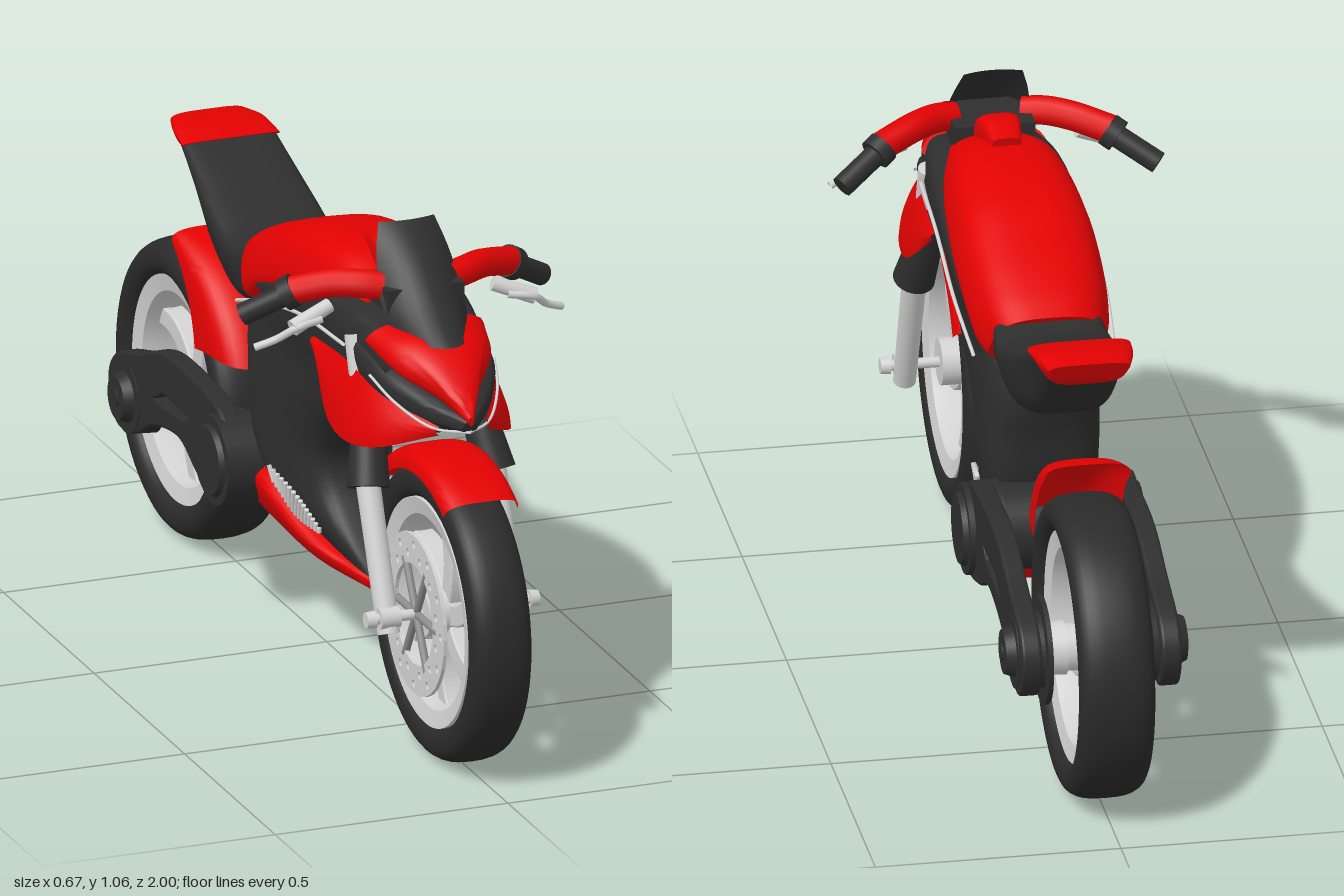
import * as THREE from 'three';
import { toCreasedNormals } from 'three/addons/utils/BufferGeometryUtils.js';

const V = (x, y, z) => new THREE.Vector3(x, y, z);

export function createModel() {
  const root = new THREE.Group();
  root.name = 'motorcycle';
  const paint = (name, color) => {
    const m = new THREE.MeshStandardMaterial({ color, side: THREE.DoubleSide });
    m.name = name;
    return m;
  };
  const red = paint('red paint', 0xe20202);
  const dark = paint('dark plastic', 0x2e2e2e);
  const rubber = paint('tyre rubber', 0x2a2a2a);
  const silver = paint('silver metal', 0xd2d2d2);
  const steel = paint('grey steel', 0x8c8c8c);

  const add = (name, geo, mat, parent = root) => {
    const mesh = new THREE.Mesh(geo, mat);
    mesh.name = name;
    parent.add(mesh);
    return mesh;
  };
  const both = (fn) => [-1, 1].forEach(fn);

  // Indexed grid from a point function, optionally with closed end caps
  function grid(rows, cols, point, caps) {
    const pos = [], idx = [];
    for (let i = 0; i <= rows; i++)
      for (let j = 0; j <= cols; j++) pos.push(...point(i / rows, j / cols).toArray());
    const id = (i, j) => i * (cols + 1) + j;
    for (let i = 0; i < rows; i++)
      for (let j = 0; j < cols; j++)
        idx.push(id(i, j), id(i, j + 1), id(i + 1, j), id(i + 1, j), id(i, j + 1), id(i + 1, j + 1));
    if (caps) [0, rows].forEach((r) => {
      const c = pos.length / 3;
      const mid = point(r / rows, 0).add(point(r / rows, 0.5)).multiplyScalar(0.5);
      pos.push(...mid.toArray());
      for (let j = 0; j < cols; j++)
        idx.push(c, ...(r ? [id(r, j), id(r, j + 1)] : [id(r, j + 1), id(r, j)]));
    });
    const g = new THREE.BufferGeometry();
    g.setAttribute('position', new THREE.Float32BufferAttribute(pos, 3));
    g.setIndex(idx);
    return toCreasedNormals(g, 0.7);
  }

  // Rounded body through stations [z, y, halfWidth, z, y, halfWidth] (one edge, opposite edge)
  function loft(name, mat, stations, e = 0.55) {
    const a = new THREE.CatmullRomCurve3(stations.map((s) => V(s[2], s[1], s[0])), false, 'catmullrom');
    const b = new THREE.CatmullRomCurve3(stations.map((s) => V(s[5], s[4], s[3])), false, 'catmullrom');
    const pow = (k) => Math.sign(k) * Math.abs(k) ** e;
    return add(name, grid((stations.length - 1) * 5, 32, (u, v) => {
      const p = a.getPoint(u).lerp(b.getPoint(u), (1 - pow(Math.cos(v * 2 * Math.PI))) / 2);
      p.x *= pow(Math.sin(v * 2 * Math.PI));
      return p;
    }, true), mat);
  }

  // Thin curved sheet between two edges; the bulge fades along the edges
  function sheet(name, mat, edgeA, edgeB, bulge, fade) {
    const a = new THREE.CatmullRomCurve3(edgeA), b = new THREE.CatmullRomCurve3(edgeB);
    return add(name, grid(16, 10, (u, v) =>
      a.getPoint(u).lerp(b.getPoint(u), v).addScaledVector(bulge, 4 * v * (1 - v) * (1 - fade * u))), mat);
  }

  const tube = (name, mat, pts, r) =>
    add(name, new THREE.TubeGeometry(new THREE.CatmullRomCurve3(pts), 20, r, 10), mat);

  function rod(name, mat, p, q, r0, r1 = r0, parent = root) {
    const d = q.clone().sub(p);
    const m = add(name, new THREE.CylinderGeometry(r1, r0, d.length(), 28), mat, parent);
    m.position.copy(p).addScaledVector(d, 0.5);
    m.quaternion.setFromUnitVectors(V(0, 1, 0), d.normalize());
    return m;
  }

  // Side plate from a (z, y) shape, centred on x
  function plate(name, mat, shape, x, t, bevel = 0, parent = root) {
    const g = new THREE.ExtrudeGeometry(shape, { depth: t, curveSegments: 16,
      bevelEnabled: bevel > 0, bevelSize: bevel, bevelThickness: bevel, bevelSegments: 3 });
    g.rotateY(-Math.PI / 2).translate(x + t / 2, 0, 0);
    return add(name, g, mat, parent);
  }
  const v2 = (pts) => pts.map((p) => new THREE.Vector2(...p));

  // Revolve a (radius, x) profile about the axle
  const spin = (pts) => new THREE.LatheGeometry(v2(pts), 64).rotateZ(Math.PI / 2);

  function wheel(name, z, w) {
    const g = new THREE.Group();
    g.name = name;
    g.position.set(0, 0.31, z);
    root.add(g);
    const tyre = [];
    for (let i = 0; i <= 28; i++) {
      const a = (i / 28) * 2 * Math.PI - Math.PI / 2, c = Math.cos(a), s = Math.sin(a);
      tyre.push([0.267 + 0.041 * Math.sign(c) * Math.abs(c) ** 0.8, w * Math.sign(s) * Math.abs(s) ** 0.75]);
    }
    add('tyre', spin(tyre), rubber, g);
    add('rim', toCreasedNormals(spin([[0.2, -0.05], [0.235, -0.058], [0.235, 0.058], [0.2, 0.05], [0.192, 0], [0.2, -0.05]]), 0.5), silver, g);
    // Curved blade spokes
    const spoke = new THREE.Shape();
    spoke.moveTo(0.03, -0.018);
    spoke.quadraticCurveTo(0.15, 0.0, 0.185, 0.105);
    spoke.lineTo(0.162, 0.13);
    spoke.quadraticCurveTo(0.13, 0.035, 0.03, 0.02);
    for (let i = 0; i < 6; i++)
      plate('spoke', silver, spoke, 0, 0.034, 0.004, g).rotation.x = i * Math.PI / 3;
    rod('hub', silver, V(-0.065, 0, 0), V(0.065, 0, 0), 0.048, 0.048, g);
    return g;
  }

  // Front wheel with drilled brake disc
  const front = wheel('frontWheel', 0.69, 0.064);
  const disc = new THREE.Shape().absarc(0, 0, 0.168, 0, 2 * Math.PI);
  disc.holes.push(new THREE.Path().absarc(0, 0, 0.105, 0, 2 * Math.PI, true));
  for (let i = 0; i < 24; i++) {
    const a = (i / 24) * 2 * Math.PI, r = i % 2 ? 0.125 : 0.148;
    disc.holes.push(new THREE.Path().absarc(r * Math.cos(a), r * Math.sin(a), 0.008, 0, 2 * Math.PI, true));
  }
  plate('brakeDisc', silver, disc, -0.078, 0.008, 0, front);
  for (let i = 0; i < 6; i++) {
    const a = i * Math.PI / 3;
    rod('discCarrier', steel, V(-0.076, 0, 0), V(-0.076, 0.12 * Math.sin(a), 0.12 * Math.cos(a)), 0.008, 0.008, front);
  }
  rod('axle', silver, V(-0.17, 0, 0), V(0.17, 0, 0), 0.011, 0.011, front);
  both((s) => rod('axleEnd', silver, V(s * 0.165, 0, 0), V(s * 0.185, 0, 0), 0.018, 0.016, front));

  // Rear wheel, sprocket and hub covers
  const rear = wheel('rearWheel', -0.69, 0.077);
  rod('sprocket', dark, V(0.1, 0, 0), V(0.11, 0, 0), 0.112, 0.112, rear);
  both((s) => {
    rod('innerHub', silver, V(s * 0.06, 0, 0), V(s * 0.125, 0, 0), 0.055, 0.05, rear);
    rod('hubCover', dark, V(s * 0.11, 0, 0), V(s * 0.165, 0, 0), 0.08, 0.076, rear);
    rod('axleCap', dark, V(s * 0.16, 0, 0), V(s * 0.185, 0, 0), 0.055, 0.045, rear);
    rod('axleNut', dark, V(s * 0.185, 0, 0), V(s * 0.19, 0, 0), 0.018, 0.018, rear);
  });

  // Mudguards: arc around the wheel, skirt depth running from s0 to s1, lower end cut level by lean
  const guard = (name, parent, a0, a1, r, w, s0, s1, lean) => add(name, grid(32, 20, (u, v) => {
    const t = v * 2 - 1, k = Math.abs(t) ** 3;
    const a = a0 + (a1 - a0) * u + lean * (1 - u) * k;
    const d = r - (s0 + (s1 - s0) * u) * k;
    return V(w * Math.sin(t * Math.PI / 2), d * Math.sin(a), d * Math.cos(a));
  }), red, parent);
  guard('frontMudguard', front, 1.02, 2.54, 0.34, 0.08, 0.035, 0.052, 0);
  guard('rearMudguard', rear, 0.43, 1.4, 0.374, 0.088, 0.13, 0.025, 0.27);

  // Swing arms and pivot
  const arm = new THREE.Shape();
  arm.moveTo(-0.11, 0.38);
  arm.splineThru(v2([[-0.19, 0.45], [-0.34, 0.468], [-0.49, 0.464], [-0.62, 0.42], [-0.75, 0.375], [-0.785, 0.31],
    [-0.74, 0.24], [-0.64, 0.255], [-0.54, 0.305], [-0.4, 0.325], [-0.29, 0.28], [-0.18, 0.26], [-0.11, 0.32]]));
  arm.holes.push(new THREE.Path(v2([[-0.34, 0.385], [-0.49, 0.39], [-0.55, 0.355], [-0.48, 0.352], [-0.37, 0.36]])));
  both((s) => {
    plate('swingArm', dark, arm, s * 0.142, 0.028, 0.007);
    rod('pivotCover', dark, V(s * 0.1, 0.35, -0.185), V(s * 0.175, 0.35, -0.185), 0.097, 0.093);
    rod('pivotCap', dark, V(s * 0.175, 0.35, -0.185), V(s * 0.186, 0.35, -0.185), 0.075, 0.07);
  });
  rod('pivotShaft', dark, V(-0.12, 0.35, -0.185), V(0.12, 0.35, -0.185), 0.09);

  // Main fairing, from the belly upwards (front edge, rear edge)
  loft('mainFairing', dark, [
    [0.3, 0.24, 0.03, -0.09, 0.34, 0.1], [0.24, 0.31, 0.07, -0.14, 0.38, 0.12],
    [0.175, 0.39, 0.09, -0.18, 0.44, 0.125], [0.17, 0.47, 0.1, -0.2, 0.54, 0.125],
    [0.27, 0.565, 0.11, -0.225, 0.63, 0.12], [0.44, 0.65, 0.11, -0.21, 0.68, 0.12],
    [0.56, 0.76, 0.12, -0.13, 0.71, 0.13], [0.55, 0.825, 0.12, -0.02, 0.76, 0.14]]);
  loft('bellyPan', red, [
    [0.318, 0.235, 0.012, 0.318, 0.212, 0.01], [0.12, 0.285, 0.1, 0.12, 0.216, 0.06],
    [-0.09, 0.365, 0.135, -0.06, 0.228, 0.08], [-0.25, 0.3, 0.11, -0.2, 0.237, 0.07]]);

  // Slatted vents and trim lines
  both((s) => {
    const top = new THREE.CatmullRomCurve3([V(s * 0.083, 0.315, 0.17), V(s * 0.102, 0.36, 0.1), V(s * 0.116, 0.388, -0.02)]);
    const low = new THREE.CatmullRomCurve3([V(s * 0.083, 0.305, 0.17), V(s * 0.097, 0.315, 0.08), V(s * 0.109, 0.355, -0.01)]);
    for (let i = 0; i < 15; i++)
      rod('ventSlat', silver, low.getPoint(i / 14), top.getPoint(i / 14), 0.005);
    tube('trimLine', silver, [V(s * 0.143, 0.815, 0.46), V(s * 0.15, 0.806, 0.25), V(s * 0.154, 0.76, 0.03), V(s * 0.143, 0.706, -0.13)], 0.004);
  });

  // Tank, dark side panel, seat and tail (top edge, bottom edge)
  loft('tank', red, [
    [0.44, 0.925, 0.08, 0.46, 0.84, 0.1], [0.3, 0.967, 0.1, 0.32, 0.82, 0.14],
    [0.12, 0.948, 0.115, 0.12, 0.79, 0.162], [-0.04, 0.895, 0.115, -0.02, 0.745, 0.162],
    [-0.15, 0.85, 0.11, -0.1, 0.7, 0.15], [-0.215, 0.815, 0.1, -0.14, 0.69, 0.13]], 0.65);
  loft('sidePanel', dark, [
    [0.6, 0.872, 0.1, 0.62, 0.79, 0.12], [0.42, 0.895, 0.13, 0.42, 0.795, 0.145],
    [0.22, 0.865, 0.145, 0.22, 0.78, 0.147], [0.06, 0.82, 0.147, 0.06, 0.762, 0.147],
    [-0.08, 0.78, 0.14, -0.08, 0.77, 0.14]], 0.4);
  loft('seat', dark, [
    [-0.16, 0.815, 0.11, -0.13, 0.7, 0.11], [-0.25, 0.8, 0.13, -0.27, 0.65, 0.09],
    [-0.34, 0.828, 0.13, -0.42, 0.7, 0.08], [-0.45, 0.872, 0.12, -0.53, 0.785, 0.07],
    [-0.535, 0.905, 0.112, -0.6, 0.85, 0.07]], 0.5);
  loft('tail', red, [
    [-0.515, 0.902, 0.116, -0.57, 0.868, 0.08], [-0.59, 0.918, 0.108, -0.615, 0.855, 0.074],
    [-0.657, 0.914, 0.09, -0.63, 0.86, 0.065]], 0.5);

  // Nose cowl, headlamps and windscreen
  loft('noseCowl', red, [
    [0.8, 0.757, 0.006, 0.8, 0.738, 0.004], [0.73, 0.824, 0.05, 0.72, 0.765, 0.045],
    [0.65, 0.875, 0.085, 0.64, 0.795, 0.115], [0.56, 0.89, 0.1, 0.53, 0.83, 0.145]], 0.72);
  loft('headlamps', dark, [
    [0.795, 0.747, 0.008, 0.785, 0.722, 0.02], [0.72, 0.775, 0.07, 0.71, 0.718, 0.07],
    [0.62, 0.815, 0.125, 0.62, 0.722, 0.115], [0.5, 0.85, 0.14, 0.5, 0.75, 0.135]]);
  both((s) => tube('lampTrim', silver, [V(0, 0.72, 0.788), V(s * 0.06, 0.722, 0.742), V(s * 0.11, 0.755, 0.66), V(s * 0.134, 0.79, 0.58)], 0.003));
  const screenEdge = (s) => [V(s * 0.083, 0.86, 0.575), V(s * 0.088, 0.92, 0.525), V(s * 0.077, 1, 0.472), V(s * 0.06, 1.058, 0.438)];
  sheet('windscreen', dark, screenEdge(-1), screenEdge(1), V(0, 0.006, 0.115), 0.9);
  both((s) => sheet('lowerCowl', red,
    [V(s * 0.05, 0.726, 0.75), V(s * 0.118, 0.755, 0.62), V(s * 0.14, 0.785, 0.47), V(s * 0.144, 0.778, 0.3)],
    [V(s * 0.05, 0.708, 0.75), V(s * 0.155, 0.652, 0.62), V(s * 0.175, 0.65, 0.47), V(s * 0.146, 0.765, 0.3)], V(s * 0.008, 0, 0), 0));

  // Forks and steering head
  both((s) => {
    rod('forkLower', silver, V(s * 0.135, 0.275, 0.69), V(s * 0.135, 0.57, 0.57), 0.023, 0.025);
    rod('forkFoot', silver, V(s * 0.115, 0.31, 0.69), V(s * 0.157, 0.31, 0.69), 0.022);
    rod('forkUpper', dark, V(s * 0.136, 0.55, 0.58), V(s * 0.112, 0.7, 0.515), 0.043, 0.032);
    rod('forkTube', silver, V(s * 0.125, 0.75, 0.505), V(s * 0.125, 0.84, 0.475), 0.021);
  });
  loft('steeringYoke', dark, [
    [0.6, 0.655, 0.08, 0.48, 0.64, 0.1], [0.64, 0.69, 0.08, 0.48, 0.69, 0.1], [0.68, 0.725, 0.06, 0.48, 0.74, 0.1]]);
  const dash = add('dashboard', new THREE.BoxGeometry(0.165, 0.05, 0.13), dark);
  dash.position.set(0, 0.925, 0.485);

  // Handlebars
  loft('steeringCover', red, [
    [0.42, 0.975, 0.04, 0.42, 0.91, 0.045], [0.36, 1, 0.042, 0.37, 0.93, 0.042], [0.28, 0.985, 0.03, 0.29, 0.945, 0.03]]);
  both((s) => {
    tube('handlebarArm', red, [V(s * 0.07, 0.943, 0.495), V(s * 0.11, 0.947, 0.48), V(s * 0.16, 0.945, 0.45), V(s * 0.235, 0.926, 0.41)], 0.03);
    rod('grip', dark, V(s * 0.22, 0.93, 0.415), V(s * 0.322, 0.868, 0.36), 0.023);
    rod('gripCollar', dark, V(s * 0.228, 0.927, 0.411), V(s * 0.248, 0.914, 0.4), 0.034);
    rod('leverMount', silver, V(s * 0.175, 0.905, 0.465), V(s * 0.26, 0.872, 0.48), 0.015, 0.017);
    tube('lever', silver, [V(s * 0.2, 0.885, 0.485), V(s * 0.255, 0.875, 0.49), V(s * 0.29, 0.847, 0.465), V(s * 0.33, 0.83, 0.45)], 0.008);
  });
  return root;
}
